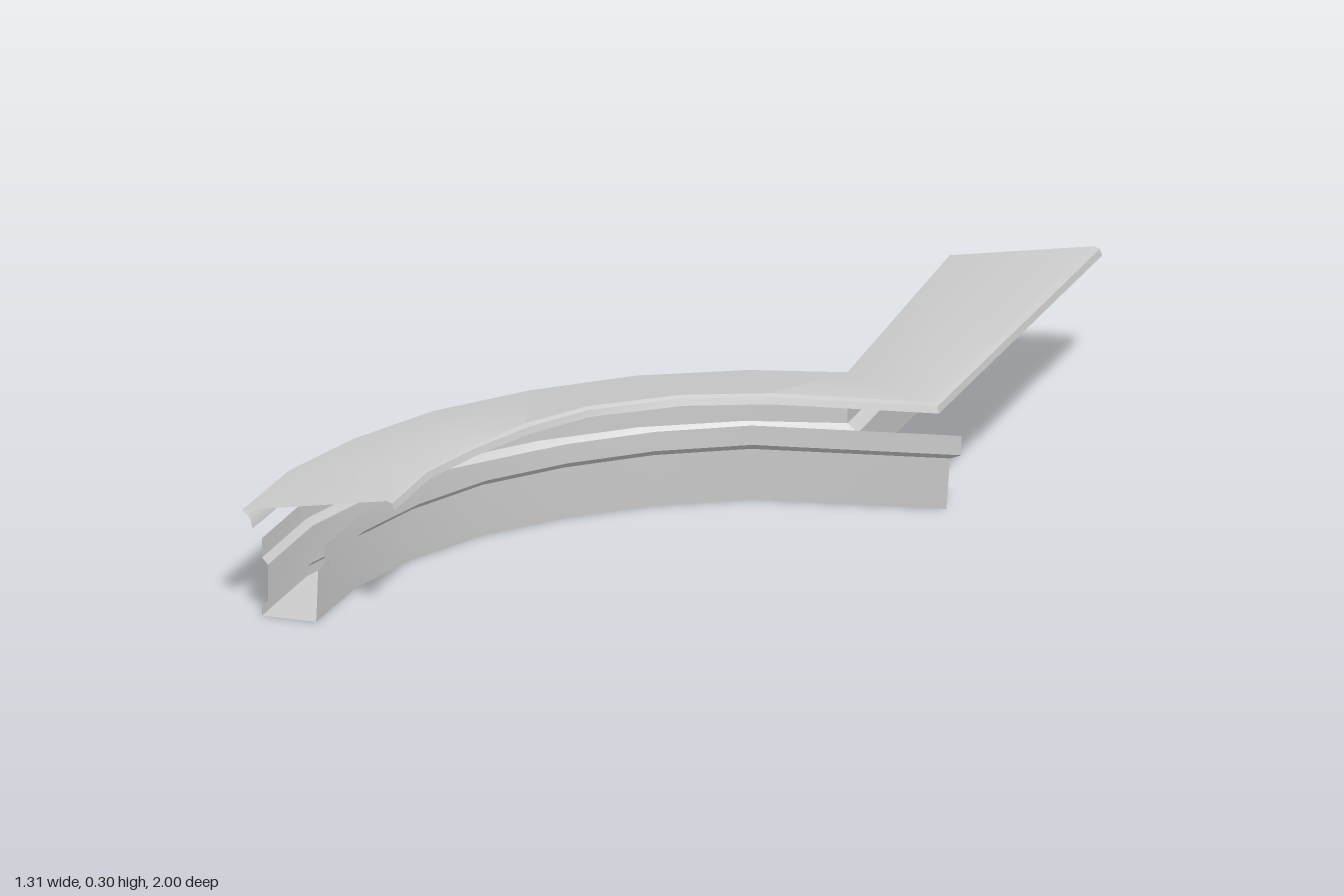
import * as THREE from 'three';
import { toCreasedNormals } from 'three/addons/utils/BufferGeometryUtils.js';

// Open sheet swept between an outer and an inner path.
// Each profile point is [u, y]: u = 0 on the outer path, 1 on the inner path.
function sweep(name, outer, inner, profile) {
  const pos = [], index = [], n = profile.length;
  outer.forEach(([ox, oz], i) => {
    const [ix, iz] = inner[i];
    for (const [u, y] of profile) pos.push(ox + (ix - ox) * u, y, oz + (iz - oz) * u);
  });
  for (let i = 0; i < outer.length - 1; i++) {
    for (let j = 0; j < n - 1; j++) {
      const a = i * n + j, b = a + 1, c = a + n, d = c + 1;
      index.push(a, b, c, b, d, c);
    }
  }
  const geo = new THREE.BufferGeometry();
  geo.setAttribute('position', new THREE.Float32BufferAttribute(pos, 3));
  geo.setIndex(index);
  const mesh = new THREE.Mesh(
    toCreasedNormals(geo, 0.6),
    new THREE.MeshStandardMaterial({ color: 0xcccccc, side: THREE.DoubleSide })
  );
  mesh.name = name;
  return mesh;
}

export function createModel() {
  const group = new THREE.Group();
  group.name = 'curvedTrim';

  // Cap edges in plan [x, z]: curve, mitred corner, straight run
  const capOuter = [[-0.66, 1], [-0.64, 0.73], [-0.57, 0.5], [-0.46, 0.28], [-0.3, 0.09],
    [-0.11, -0.07], [0.11, -0.18], [0.32, -0.235], [0.3, -1]];
  const capInner = [[-0.31, 1], [-0.3, 0.79], [-0.25, 0.62], [-0.18, 0.45], [-0.09, 0.31],
    [0.08, 0.18], [0.26, 0.11], [0.625, 0.05], [0.65, -1]];

  // Sloping cap with a moulded fascia outside and a small lip inside
  group.add(sweep('slopingCap', capOuter, capInner,
    [[0.07, 0.2], [0.055, 0.222], [0.04, 0.228], [0, 0.24], [0.95, 0.3], [0.985, 0.295], [1, 0.28]]));

  // Channel walls in plan
  const wallOuter = [[-0.6, 1], [-0.585, 0.74], [-0.52, 0.52], [-0.415, 0.31], [-0.265, 0.13],
    [-0.085, -0.02], [0.12, -0.13], [0.36, -0.19]];
  const wallInner = [[-0.485, 1], [-0.47, 0.77], [-0.41, 0.57], [-0.315, 0.38], [-0.18, 0.22],
    [-0.02, 0.085], [0.17, -0.02], [0.6, -0.1]];

  // Moulded profiles of the two walls
  const outerProfile = [[-0.12, 0.18], [-0.12, 0.135], [0, 0.12], [0, 0.035], [-0.12, 0.022], [-0.12, 0]];
  const innerProfile = [[0.96, 0], [0.97, 0.02], [1, 0.12], [1.13, 0.135], [1.13, 0.18]];

  // Curved U-shaped channel: outer wall, floor and inner wall in one sheet
  group.add(sweep('curvedChannel', wallOuter, wallInner, [...outerProfile, ...innerProfile]));

  // Straight run keeps only the outer wall
  group.add(sweep('straightWall', [wallOuter[7], [0.36, -1]], [wallInner[7], [0.48, -1]], outerProfile));

  return group;
}
